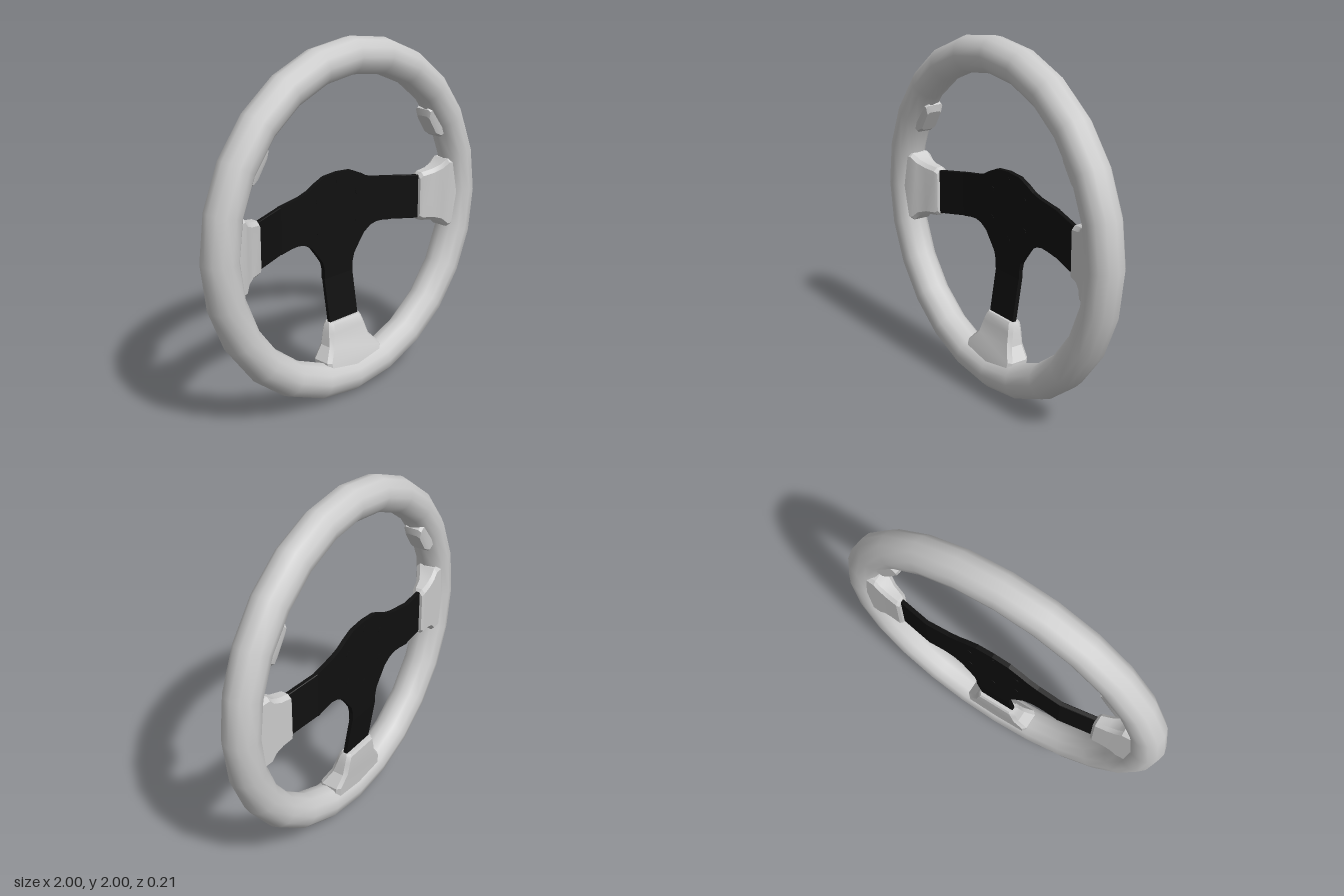
import * as THREE from 'three';
import { toCreasedNormals } from 'three/addons/utils/BufferGeometryUtils.js';

const grey = new THREE.MeshStandardMaterial({ color: 0xcccccc });
const black = new THREE.MeshStandardMaterial({ color: 0x101010 });

// Lofts chamfered rectangles outward along +x.
// Each section: [radius, half width (y), centre z, half depth (z), centre y]
function loft(sections, chamfer) {
  const pos = [], index = [], n = 8;
  for (const [r, w, cz, d, cy = 0] of sections) {
    const c = Math.min(chamfer, d * 0.6);
    const ring = [[w, d - c], [w - c, d], [c - w, d], [-w, d - c],
      [-w, c - d], [c - w, -d], [w - c, -d], [w, c - d]];
    for (const [y, z] of ring) pos.push(r, cy + y, cz + z);
  }
  for (let s = 0; s < sections.length - 1; s++) {
    for (let i = 0; i < n; i++) {
      const a = s * n + i, b = s * n + (i + 1) % n;
      index.push(a, b, a + n, b, b + n, a + n);
    }
  }
  const last = (sections.length - 1) * n;
  for (let i = 1; i < n - 1; i++) {
    index.push(0, i + 1, i, last, last + i, last + i + 1);
  }
  // Ring order runs clockwise seen from +x, so flip every face outward
  const flipped = [];
  const g = new THREE.BufferGeometry();
  g.setAttribute('position', new THREE.Float32BufferAttribute(pos, 3));
  const p = g.attributes.position, e1 = new THREE.Vector3(), e2 = new THREE.Vector3();
  const v = (i) => new THREE.Vector3().fromBufferAttribute(p, i);
  const o = v(index[index.length - 6]);
  e1.subVectors(v(last + 1), v(last));
  e2.subVectors(v(last + 2), v(last));
  const capFacesOut = e1.cross(e2).x > 0;
  for (let i = 0; i < index.length; i += 3) {
    if (capFacesOut) flipped.push(index[i], index[i + 1], index[i + 2]);
    else flipped.push(index[i], index[i + 2], index[i + 1]);
  }
  g.setIndex(flipped);
  return toCreasedNormals(g, 0.45);
}

export function createModel() {
  const model = new THREE.Group();
  model.name = 'steeringWheel';
  const wheel = new THREE.Group();
  wheel.name = 'wheel';
  wheel.position.y = 1;
  model.add(wheel);

  function add(name, geometry, material, angle = 0) {
    const mesh = new THREE.Mesh(geometry, material);
    mesh.name = name;
    mesh.rotation.z = angle;
    wheel.add(mesh);
    return mesh;
  }

  // Rim
  add('rim', new THREE.TorusGeometry(0.9, 0.1, 12, 24), grey);

  // Hub plate with the flat roots of the three spokes
  const half = [[0.1, 0.25], [0.17, 0.22], [0.22, 0.193], [0.28, 0.175], [0.42, 0.152],
    [0.42, -0.107], [0.35, -0.094], [0.3, -0.09], [0.25, -0.1], [0.2, -0.13],
    [0.145, -0.2], [0.12, -0.235], [0.108, -0.28], [0.108, -0.33]];
  const outline = [[0, 0.258], ...half, ...half.map(([x, y]) => [-x, y]).reverse()];
  const plate = new THREE.ExtrudeGeometry(
    new THREE.Shape(outline.map(([x, y]) => new THREE.Vector2(x, y))),
    { depth: 0.026, bevelEnabled: false });
  plate.translate(0, 0, -0.111);
  add('hubPlate', plate, black);

  // Bolts around the hub
  for (let i = 0; i < 6; i++) {
    const a = Math.PI / 6 + (i * Math.PI) / 3;
    const bolt = new THREE.CylinderGeometry(0.02, 0.02, 0.028, 12).rotateX(Math.PI / 2);
    bolt.translate(0.17 * Math.cos(a), 0.04 + 0.17 * Math.sin(a), -0.098);
    add('hubBolt', bolt, black);
  }

  // Side spokes and grips, slightly drooping; the far side is turned by half a circle
  for (const s of [1, -1]) {
    const angle = s > 0 ? 0 : Math.PI;
    add('sideSpoke', loft([
      [0.42, 0.129, -0.098, 0.013, 0.023 * s],
      [0.66, 0.13, -0.05, 0.013, -0.012 * s]], 0.003), black, angle);
    add('sideGrip', loft([
      [0.61, 0.13, -0.06, 0.03, -0.008 * s],
      [0.625, 0.145, -0.058, 0.04, -0.005 * s],
      [0.69, 0.153, -0.045, 0.047, -0.003 * s],
      [0.74, 0.172, -0.03, 0.058],
      [0.772, 0.205, -0.018, 0.068],
      [0.86, 0.205, -0.005, 0.075]], 0.02), grey, angle);
    // Thumb rest on the inner side of the rim
    add('thumbRest', loft([
      [0.764, 0.07, -0.015, 0.045],
      [0.785, 0.105, -0.015, 0.055],
      [0.85, 0.11, -0.01, 0.06]], 0.015), grey,
      THREE.MathUtils.degToRad(s > 0 ? 33.5 : 146.5));
  }

  // Bottom spoke and its wider grip
  add('bottomSpoke', loft([
    [0.33, 0.108, -0.098, 0.013],
    [0.62, 0.108, -0.05, 0.013]], 0.003), black, -Math.PI / 2);
  add('bottomGrip', loft([
    [0.575, 0.115, -0.06, 0.03],
    [0.59, 0.124, -0.058, 0.04],
    [0.63, 0.136, -0.052, 0.045],
    [0.7, 0.152, -0.04, 0.053],
    [0.768, 0.207, -0.018, 0.068],
    [0.86, 0.205, -0.005, 0.075]], 0.02), grey, -Math.PI / 2);

  return model;
}
